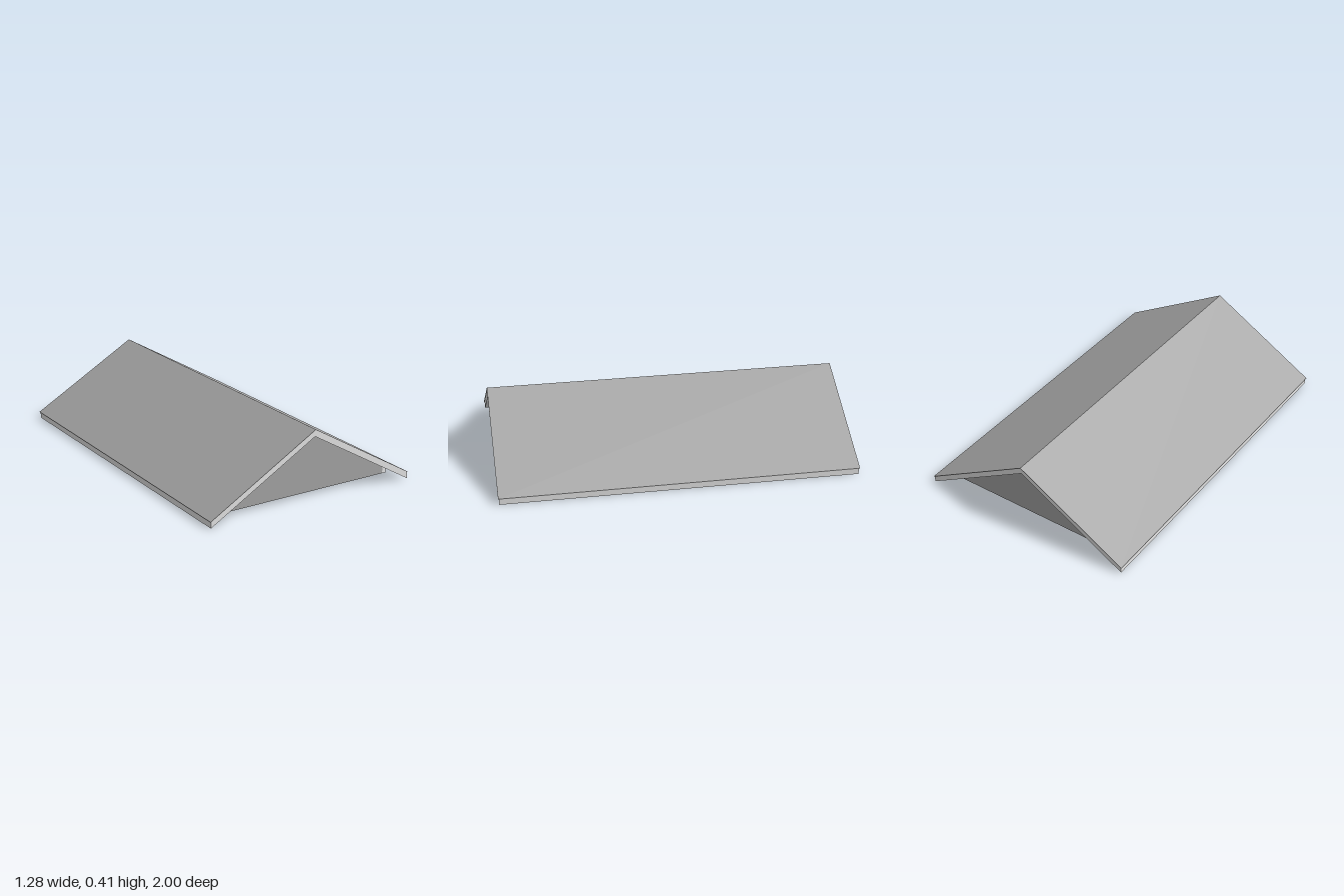
import * as THREE from 'three';

const SLOPE = 0.578;      // rise per unit of run
const CEILING = 0.367;    // underside of the roof slab at the ridge
const LINING = 0.335;     // underside of the inner lining at the ridge
const BASE = 0.021;       // bottom of the walls
const WALL_X = 0.556, WALL_Z = 0.905, THICK = 0.025;
const GABLE_X = 0.533;    // half width of the gable cladding

const under = (x) => CEILING - SLOPE * Math.abs(x);
const outline = (points) => new THREE.Shape(points.map(([x, y]) => new THREE.Vector2(x, y)));

// Extrudes an outline in the x-y plane from z0 to z1
function prism(name, points, z0, z1, material) {
  const geometry = new THREE.ExtrudeGeometry(outline(points), { depth: z1 - z0, bevelEnabled: false });
  geometry.translate(0, 0, z0);
  const mesh = new THREE.Mesh(geometry, material);
  mesh.name = name;
  return mesh;
}

// Inverted V between two heights above the ceiling line
function chevron(halfWidth, low, high) {
  const y = under(halfWidth);
  return [
    [-halfWidth, y + low], [0, CEILING + low], [halfWidth, y + low],
    [halfWidth, y + high], [0, CEILING + high], [-halfWidth, y + high],
  ];
}

export function createModel() {
  const pale = new THREE.MeshStandardMaterial({ color: 0xe6e6e6 });
  pale.name = 'pale grey';
  const grey = new THREE.MeshStandardMaterial({ color: 0xa6a6a6 });
  grey.name = 'mid grey';

  const model = new THREE.Group();
  model.name = 'gableRoof';

  // Roof slab and its thin covering
  model.add(prism('roofSlab', chevron(0.635, 0, 0.038), -0.995, 0.995, pale));
  model.add(prism('roofCovering', chevron(0.64, 0.038, 0.04), -1, 1, grey));

  // Sloping inner lining, cut upright at the eaves and level at the base
  const innerX = (LINING - BASE) / SLOPE;
  const eaveY = under(WALL_X);
  model.add(prism('innerLining', [
    [-WALL_X, BASE], [-innerX, BASE], [0, LINING], [innerX, BASE],
    [WALL_X, BASE], [WALL_X, eaveY], [0, CEILING], [-WALL_X, eaveY],
  ], -WALL_Z, WALL_Z, pale));

  // Gable walls fill the ends of the lining
  const triangle = [[-innerX, BASE], [innerX, BASE], [0, LINING]];
  model.add(prism('frontGableWall', triangle, WALL_Z - THICK, WALL_Z, pale));
  model.add(prism('backGableWall', triangle, -WALL_Z, THICK - WALL_Z, pale));

  // Thin cladding faces on the gables and along the eaves
  const gableFace = new THREE.ShapeGeometry(outline([
    [-GABLE_X, BASE], [GABLE_X, BASE], [GABLE_X, under(GABLE_X)],
    [0, CEILING], [-GABLE_X, under(GABLE_X)],
  ]));
  const eaveFace = new THREE.PlaneGeometry(2 * WALL_Z, eaveY - BASE);
  for (const side of [1, -1]) {
    const gable = new THREE.Mesh(gableFace, grey);
    gable.name = (side > 0 ? 'front' : 'back') + 'GableCladding';
    gable.position.z = side * (WALL_Z + 0.001);
    gable.rotation.y = side > 0 ? 0 : Math.PI;

    const eave = new THREE.Mesh(eaveFace, grey);
    eave.name = (side > 0 ? 'left' : 'right') + 'EaveCladding';
    eave.position.set(side * (WALL_X + 0.001), (eaveY + BASE) / 2, 0);
    eave.rotation.y = side * Math.PI / 2;
    model.add(gable, eave);
  }
  return model;
}
